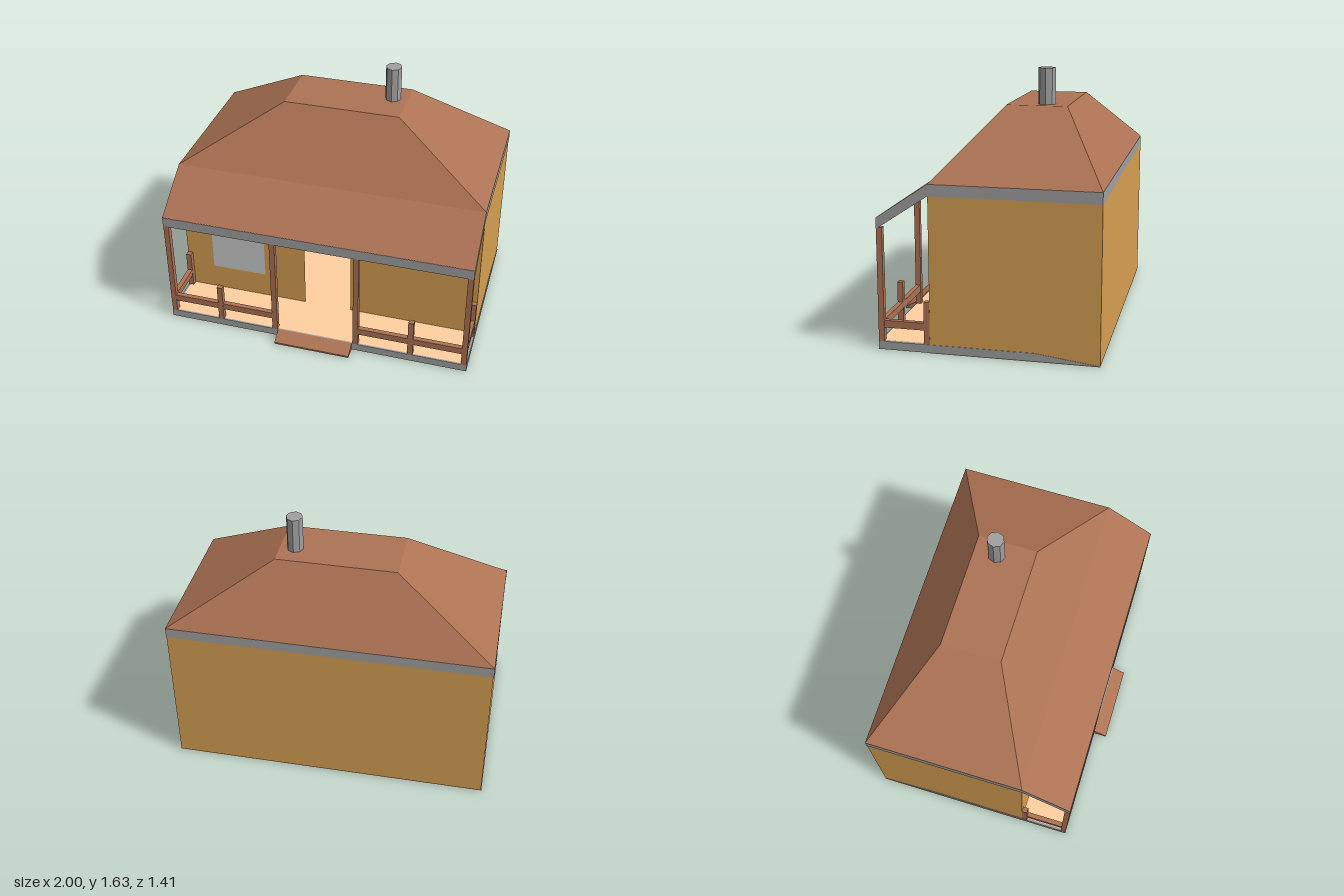
import * as THREE from 'three';

const mat = (color, side = THREE.FrontSide) =>
  new THREE.MeshStandardMaterial({ color, side, flatShading: true });
const DS = THREE.DoubleSide;
const wood = mat(0xac7254);
const grey = mat(0xa0a0a0);
const plaster = mat(0xd69f51, DS);
const boards = mat(0xffd09f, DS);
const glass = mat(0xcccccc, DS);

const BACK = -0.705, WALL = 0.305, PORCH = 0.62, HALF = 0.997;

export function createModel() {
  const model = new THREE.Group();

  const add = (name, geometry, material, parent = model) => {
    const mesh = new THREE.Mesh(geometry, material);
    mesh.name = name;
    parent.add(mesh);
    return mesh;
  };
  // box given by its two extreme corners
  const box = (name, x0, x1, y0, y1, z0, z1, material, parent) => {
    const m = add(name, new THREE.BoxGeometry(x1 - x0, y1 - y0, z1 - z0), material, parent);
    m.position.set((x0 + x1) / 2, (y0 + y1) / 2, (z0 + z1) / 2);
    return m;
  };
  // [z, y] profile swept along x, centred on x = 0
  const sweep = (name, profile, width, material) => {
    const shape = new THREE.Shape(profile.map(([z, y]) => new THREE.Vector2(-z, y)));
    const g = new THREE.ExtrudeGeometry(shape, { depth: width, bevelEnabled: false });
    g.translate(0, 0, -width / 2).rotateY(Math.PI / 2);
    return add(name, g, material);
  };
  const plane = (name, w, h, material, pos, rx = 0, ry = 0) => {
    const m = add(name, new THREE.PlaneGeometry(w, h), material);
    m.position.set(...pos);
    m.rotation.set(rx, ry, 0);
    return m;
  };

  // base slab, thinning towards the back, with boards above and below
  sweep('baseSlab', [[PORCH, 0], [PORCH, 0.05], [-0.32, 0.05], [BACK, 0.002], [BACK, 0]], 2, grey);
  plane('floor', 1.97, PORCH - BACK - 0.02, boards, [0, 0.053, (PORCH + BACK) / 2], -Math.PI / 2);
  plane('houseUnderside', 2, WALL - BACK, boards, [0, -0.002, (WALL + BACK) / 2], Math.PI / 2);

  // front wall with an open doorway
  const front = new THREE.Shape([
    [-HALF, 0.01], [HALF, 0.01], [HALF, 0.95], [-HALF, 0.95],
  ].map(p => new THREE.Vector2(...p)));
  front.holes.push(new THREE.Path([
    [-0.16, 0.05], [-0.16, 0.62], [0.155, 0.62], [0.155, 0.05],
  ].map(p => new THREE.Vector2(...p))));
  add('frontWall', new THREE.ShapeGeometry(front), plaster).position.z = WALL;

  // remaining walls
  plane('backWall', 2 * HALF, 0.95, plaster, [0, 0.475, BACK], 0, Math.PI);
  for (const s of [-1, 1]) {
    plane('sideWall', WALL - BACK, 0.95, plaster,
      [s * HALF, 0.475, (WALL + BACK) / 2], 0, s * Math.PI / 2);
  }
  plane('window', 0.37, 0.41, glass, [-0.625, 0.435, WALL + 0.005]);

  // eaves band and hipped roof with a flat top
  box('eavesBand', -1, 1, 0.945, 1.015, BACK, WALL, grey);
  const roof = new THREE.BoxGeometry(2, 0.385, WALL - BACK);
  const p = roof.attributes.position;
  for (let i = 0; i < p.count; i++) {
    if (p.getY(i) > 0) p.setXYZ(i, p.getX(i) * 0.375, p.getY(i), p.getZ(i) * 0.376 - 0.005);
  }
  roof.computeVertexNormals();
  add('hippedRoof', roof, wood).position.set(0, 1.015 + 0.1925, (WALL + BACK) / 2);

  // sloping porch roof with grey ends and front edge
  sweep('porchRoof', [[PORCH - 0.002, 0.737], [PORCH - 0.002, 0.805], [WALL, 1.015], [WALL, 0.945]],
    2, [grey, wood]);
  box('porchFascia', -1, 1, 0.738, 0.804, PORCH - 0.004, PORCH, grey);

  // chimney
  const chimney = add('chimney', new THREE.CylinderGeometry(0.055, 0.055, 0.3, 8), grey);
  chimney.scale.x = 0.93;
  chimney.position.set(0.28, 1.474, -0.25);

  // porch posts and railings, mirrored left and right
  const z0 = PORCH - 0.035;
  for (const s of [-1, 1]) {
    const side = new THREE.Group();
    side.name = s > 0 ? 'leftPorchRailing' : 'rightPorchRailing';
    model.add(side);
    const mbox = (name, a, b, ...rest) =>
      box(name, Math.min(s * a, s * b), Math.max(s * a, s * b), ...rest, wood, side);
    mbox('cornerPost', 0.963, 0.998, 0.05, 0.745, z0, PORCH);
    mbox('innerPost', 0.255, 0.29, 0.05, 0.74, z0, PORCH);
    mbox('middlePost', 0.615 + (s < 0 ? 0.015 : 0), 0.65 + (s < 0 ? 0.015 : 0), 0.05, 0.31, z0, PORCH);
    mbox('wallPost', 0.963, 0.998, 0.05, 0.31, WALL, WALL + 0.035);
    mbox('frontRail', 0.29, 0.963, 0.135, 0.18, z0 + 0.002, PORCH - 0.002);
    mbox('sideRail', 0.965, 0.996, 0.135, 0.18, WALL + 0.035, z0);
  }

  // sloping entrance step
  sweep('entranceStep', [[PORCH, 0], [0.705, 0], [0.705, 0.012], [PORCH, 0.054]], 0.5, wood);

  return model;
}
